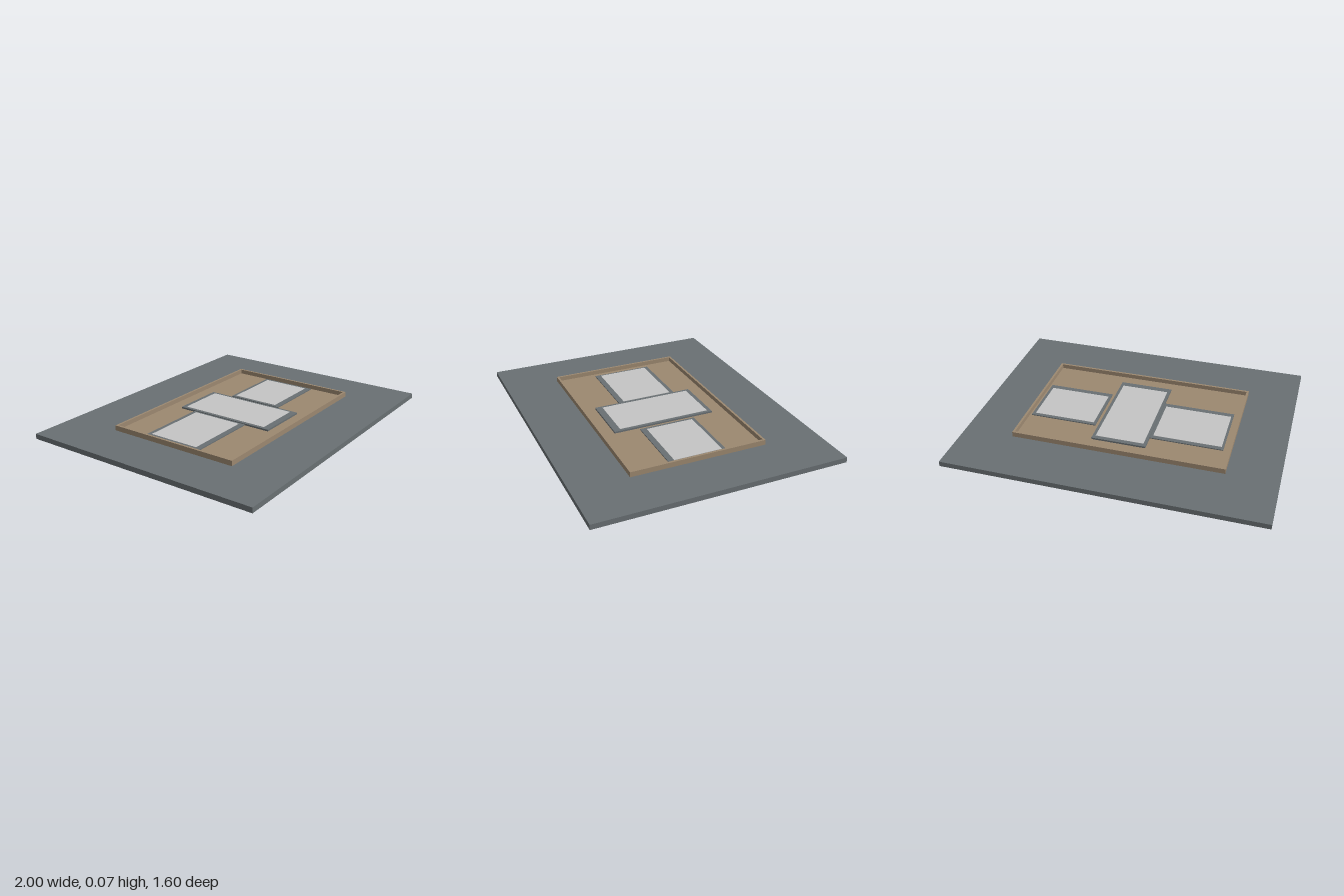
import * as THREE from 'three';

const mat = (name, color) => {
  const m = new THREE.MeshStandardMaterial({ color });
  m.name = name;
  return m;
};

export function createModel() {
  const slate = mat('slate', 0x697073);
  const wood = mat('wood', 0x9c8870);
  const paper = mat('pale grey', 0xc5c5c5);

  const model = new THREE.Group();
  model.name = 'framedPanels';

  // Box given by its limits on each axis
  const slab = (name, material, [x0, x1], [y0, y1], [z0, z1]) => {
    const mesh = new THREE.Mesh(new THREE.BoxGeometry(x1 - x0, y1 - y0, z1 - z0), material);
    mesh.position.set((x0 + x1) / 2, (y0 + y1) / 2, (z0 + z1) / 2);
    mesh.name = name;
    model.add(mesh);
  };

  // Base board
  slab('baseBoard', slate, [-1, 1], [0, 0.033], [-0.8, 0.8]);

  // Shallow tray: floor and a thin raised rim
  const X = 0.678, Z0 = -0.439, Z1 = 0.444, T = 0.014;
  slab('trayFloor', wood, [-X + T, X - T], [0.033, 0.037], [Z0 + T, Z1 - T]);
  const rim = new THREE.Shape([[-X, -Z1], [X, -Z1], [X, -Z0], [-X, -Z0]].map(p => new THREE.Vector2(...p)));
  rim.holes.push(new THREE.Path([
    [-X + T, -Z1 + T], [-X + T, -Z0 - T], [X - T, -Z0 - T], [X - T, -Z1 + T],
  ].map(p => new THREE.Vector2(...p))));
  const rimMesh = new THREE.Mesh(
    new THREE.ExtrudeGeometry(rim, { depth: 0.033, bevelEnabled: false }).rotateX(-Math.PI / 2), wood);
  rimMesh.position.y = 0.033;
  rimMesh.name = 'trayRim';
  model.add(rimMesh);

  // Three panels: dark backing with a thin pale sheet on top
  const panels = [
    { name: 'right', top: 0.043, x: [-0.626, -0.16], z: [-0.227, 0.174], sx: [-0.612, -0.176], sz: [-0.2, 0.138] },
    { name: 'middle', top: 0.048, x: [-0.16, 0.19], z: [-0.334, 0.345], sx: [-0.141, 0.17], sz: [-0.307, 0.302] },
    { name: 'left', top: 0.043, x: [0.212, 0.65], z: [-0.19, 0.184], sx: [0.23, 0.63], sz: [-0.168, 0.147] },
  ];
  for (const p of panels) {
    slab(p.name + 'PanelBacking', slate, p.x, [0.037, p.top], p.z);
    slab(p.name + 'PanelSheet', paper, p.sx, [p.top, p.top + 0.002], p.sz);
  }
  return model;
}
